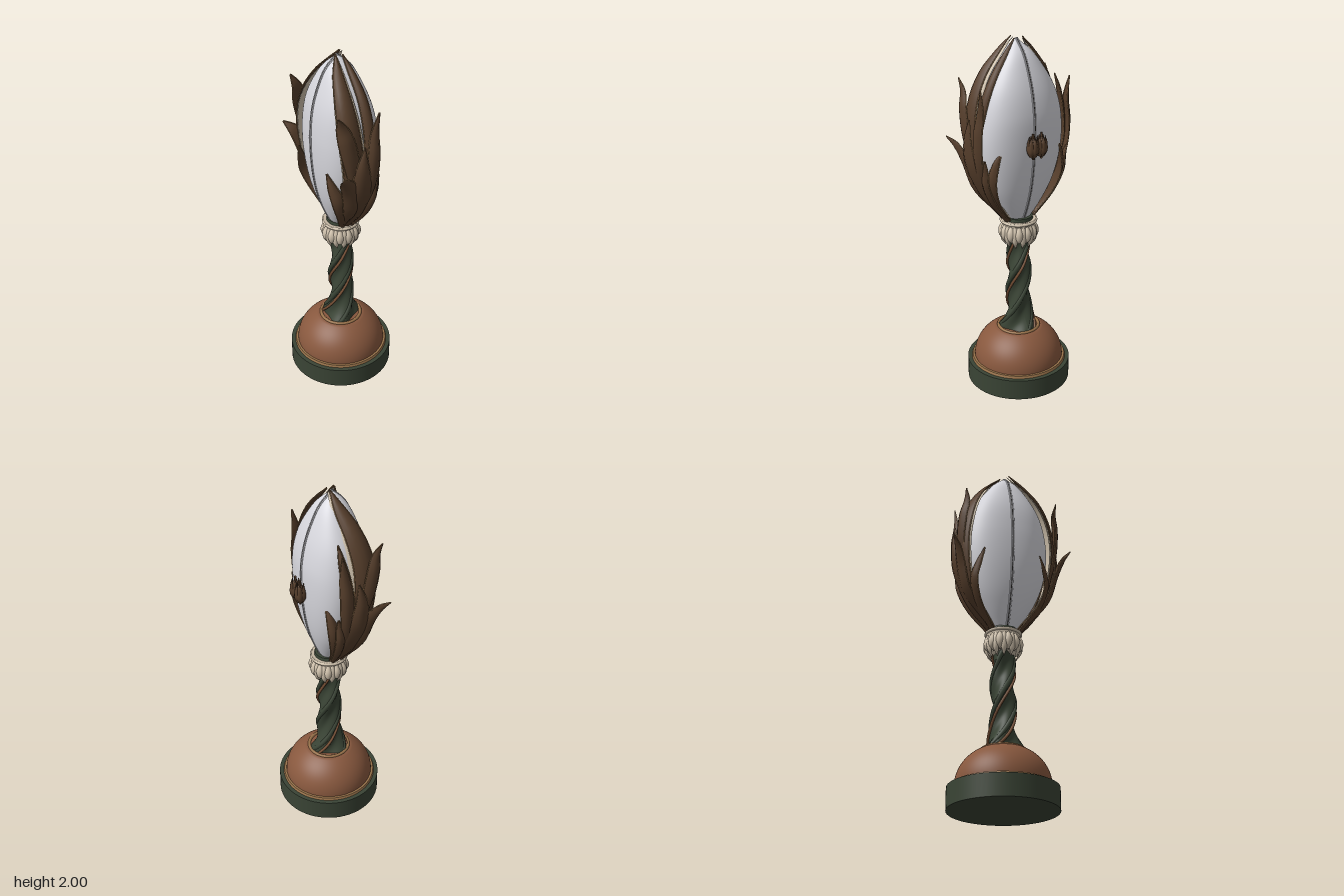
import * as THREE from 'three';

const V = (x, y, z) => new THREE.Vector3(x, y, z);
const material = (name, color) => Object.assign(new THREE.MeshStandardMaterial({ color }), { name });

// Smooth surface from f(u, v); u runs round, v runs along
function grid(f, nu, nv) {
  const pos = [], idx = [];
  for (let j = 0; j <= nv; j++)
    for (let i = 0; i <= nu; i++) pos.push(...f(i / nu, j / nv).toArray());
  for (let j = 0; j < nv; j++)
    for (let i = 0; i < nu; i++) {
      const a = j * (nu + 1) + i, b = a + 1, c = a + nu + 1, d = c + 1;
      idx.push(a, b, d, a, d, c);
    }
  const g = new THREE.BufferGeometry();
  g.setAttribute('position', new THREE.Float32BufferAttribute(pos, 3));
  g.setIndex(idx);
  g.computeVertexNormals();
  return g;
}

// Pointed leaf with a ridged lens section, swept along a spine and facing away from the axis
function leafSurface(points, width, thick = 0.012, xWeight = 0.5) {
  const curve = new THREE.CatmullRomCurve3(points.map(p => V(...p)));
  return (u, v) => {
    const p = curve.getPoint(v), t = curve.getTangent(v);
    const n = V(p.x * xWeight, 0, p.z).normalize();
    n.addScaledVector(t, -n.dot(t)).normalize();
    const side = n.clone().cross(t);
    const a = u * Math.PI * 2, c = Math.cos(a), s = Math.sin(a);
    const w = width * Math.sin(Math.PI * (0.15 + 0.85 * v)) + 0.002;
    const h = thick * s * Math.abs(s) * Math.min(1, (1 - v) * 3 + 0.2) - 0.3 * w * c * c;
    return p.addScaledVector(side, w * c).addScaledVector(n, h);
  };
}
const leafGeometry = (...args) => grid(leafSurface(...args), 12, 22);

// Smooth tube through sampled points f(0) to f(1)
function tubeAlong(f, radius, sides = 6) {
  const pts = [];
  for (let i = 0; i <= 24; i++) pts.push(f(i / 24));
  return new THREE.TubeGeometry(new THREE.CatmullRomCurve3(pts), 48, radius, sides);
}

export function createModel() {
  const root = new THREE.Group();
  root.name = 'budOnPedestal';
  const green = material('darkGreen', 0x3a4435);
  const clay = material('clayBrown', 0x88583e);
  const gold = material('dullGold', 0x98724a);
  const bark = material('vineBrown', 0x775035);
  const brown = material('leafBrown', 0x563e2b);
  const tan = material('leafRim', 0x94744e);
  const cream = material('cream', 0xcfc1ac);
  const white = material('paleSilver', 0xd8d8de);
  const dark = material('seamDark', 0x3a3633);
  green.side = white.side = THREE.DoubleSide;

  const add = (name, geometry, mat, parent = root) => {
    const m = new THREE.Mesh(geometry, mat);
    m.name = name;
    parent.add(m);
    return m;
  };
  const lathe = pts => new THREE.LatheGeometry(pts.map(p => new THREE.Vector2(...p)), 64);
  const ring = (name, r, tube, y, mat) => {
    const m = add(name, new THREE.TorusGeometry(r, tube, 10, 64), mat);
    m.rotation.x = Math.PI / 2;
    m.position.y = y;
  };
  const group = name => {
    const g = new THREE.Group();
    g.name = name;
    root.add(g);
    return g;
  };

  // Pedestal
  add('base', new THREE.CylinderGeometry(0.293, 0.293, 0.12, 72), green).position.y = 0.06;
  add('baseTrim', new THREE.CylinderGeometry(0.265, 0.27, 0.014, 72), gold).position.y = 0.127;
  const domePoints = [];
  for (let i = 0; i <= 16; i++) {
    const a = (i / 16) * 1.05;
    domePoints.push([0.253 * Math.cos(a), 0.13 + 0.22 * Math.sin(a)]);
  }
  domePoints.push([0.02, 0.322]);
  add('dome', lathe(domePoints), clay);
  ring('domeCollar', 0.114, 0.009, 0.322, gold);

  // Twisted stem with three lobes
  const stemRadius = new THREE.CatmullRomCurve3([
    V(0.098, 0.32, 0), V(0.079, 0.37, 0), V(0.062, 0.45, 0), V(0.058, 0.56, 0),
    V(0.058, 0.7, 0), V(0.052, 0.8, 0), V(0.056, 0.88, 0)]);
  const twist = y => (y - 0.32) * 9;
  add('stem', grid((u, v) => {
    const p = stemRadius.getPoint(v), a = u * Math.PI * 2;
    const r = p.x * (1 + 0.15 * Math.cos(3 * (a - twist(p.y))));
    return V(r * Math.cos(a), p.y, -r * Math.sin(a));
  }, 48, 48), green);

  // Vines winding round the stem
  const vines = group('stemVines');
  const vine = (phase, tube, grow, mat) => add('vine', tubeAlong(t => {
    const p = stemRadius.getPoint(t), a = twist(p.y) + phase;
    return V(p.x * grow * Math.cos(a), p.y, -p.x * grow * Math.sin(a));
  }, tube, 8), mat, vines);
  for (let k = 0; k < 3; k++) {
    vine(k * 2.094, 0.014, 1.04, green);
    if (k < 2) vine(k * 2.094 + 0.45, 0.008, 1.1, bark);
  }

  // Cream cup with two rows of drooping petals, and the green calyx inside it
  add('cupBody', lathe([[0.05, 0.86], [0.075, 0.88], [0.09, 0.92], [0.088, 0.96], [0.1, 0.99],
    [0.09, 0.995], [0.03, 0.975]]), cream);
  ring('cupRim', 0.095, 0.009, 0.983, cream);
  add('calyx', new THREE.CylinderGeometry(0.077, 0.082, 0.035, 32), green).position.y = 0.992;
  const petals = group('cupPetals');
  for (let k = 0; k < 24; k++) {
    const a = (k / 24) * Math.PI * 2, drop = k % 2 ? 0.03 : 0, out = k % 2 ? 0 : 0.007;
    const spine = [[0.084, 0.965], [0.095 + out, 0.93], [0.093 + out, 0.895 - drop * 0.5], [0.07 + out, 0.865 - drop]]
      .map(([r, y]) => [r * Math.cos(a), y, r * Math.sin(a)]);
    add('cupPetal', leafGeometry(spine, 0.02, 0.008, 1), cream, petals);
  }

  // Bud shell: points hold half-depth across x, height, half-depth across z
  const shell = new THREE.CatmullRomCurve3([
    V(0.045, 0.97, 0.04), V(0.098, 1.09, 0.122), V(0.132, 1.2, 0.183), V(0.155, 1.33, 0.225),
    V(0.166, 1.47, 0.242), V(0.165, 1.6, 0.232), V(0.148, 1.72, 0.2), V(0.113, 1.83, 0.14),
    V(0.068, 1.92, 0.073), V(0.001, 1.985, 0.001)]);
  const shiftX = y => -0.007 - 0.013 * Math.max(0, (y - 1.6) / 0.4);
  const power = (c, e) => Math.sign(c) * Math.pow(Math.abs(c), e);
  for (const s of [1, -1]) {
    add(s > 0 ? 'frontShell' : 'backShell', grid((u, v) => {
      const p = shell.getPoint(v), a = Math.PI * (s > 0 ? 1 - u : u);
      return V(shiftX(p.y) + p.x * power(Math.cos(a), 0.8), p.y,
        s * (0.001 + p.z * power(Math.sin(a), 0.85)));
    }, 40, 40), white);
  }

  // Seam rims where the halves meet
  const seams = group('shellSeams');
  for (const sx of [1, -1])
    for (const z of [-0.005, 0, 0.005])
      add('seamRim', tubeAlong(t => {
        const p = shell.getPoint(t);
        return V(shiftX(p.y) + sx * p.x, p.y, z);
      }, z ? 0.004 : 0.003), z ? white : dark, seams);

  // Leaves: each entry is [half-width, spine points], for the front; the back mirrors them in z
  const sideLeaves = [
    [0.045, [[-0.04, 1.03, 0.1], [-0.06, 1.2, 0.24], [-0.09, 1.35, 0.285], [-0.13, 1.43, 0.31], [-0.172, 1.475, 0.342]]],
    [0.042, [[-0.04, 1.3, 0.25], [-0.08, 1.5, 0.283], [-0.11, 1.64, 0.28], [-0.13, 1.72, 0.262], [-0.155, 1.785, 0.268]]],
    [0.032, [[0.02, 1.0, 0.08], [0.05, 1.14, 0.18], [0.08, 1.27, 0.22], [0.098, 1.37, 0.205], [0.112, 1.45, 0.17]]],
    [0.036, [[0.01, 1.15, 0.2], [0.035, 1.35, 0.272], [0.045, 1.52, 0.285], [0.055, 1.65, 0.268], [0.072, 1.77, 0.272]]],
    [0.034, [[-0.03, 1.0, 0.08], [-0.08, 1.14, 0.18], [-0.12, 1.25, 0.212], [-0.148, 1.34, 0.19], [-0.165, 1.42, 0.16]]],
    [0.06, [[0, 1.0, 0.08], [-0.01, 1.15, 0.205], [-0.025, 1.33, 0.288], [-0.03, 1.47, 0.302], [-0.015, 1.6, 0.29]]],
    [0.025, [[0.02, 1.0, 0.085], [0.045, 1.13, 0.19], [0.06, 1.25, 0.245], [0.07, 1.34, 0.25], [0.085, 1.4, 0.26]]],
  ];
  const mainLeaves = {
    '1': [
      [0.055, [[-0.01, 1, 0.07], [-0.035, 1.2, 0.215], [-0.06, 1.45, 0.27], [-0.076, 1.65, 0.25], [-0.077, 1.8, 0.187], [-0.063, 1.92, 0.092], [-0.042, 1.997, 0.02]]],
      [0.028, [[0.01, 1.1, 0.16], [0.025, 1.45, 0.268], [0.034, 1.65, 0.245], [0.03, 1.8, 0.183], [0.012, 1.92, 0.09], [-0.004, 1.99, 0.025]]],
    ],
    '-1': [
      [0.065, [[-0.01, 1, 0.07], [-0.04, 1.2, 0.215], [-0.07, 1.45, 0.27], [-0.078, 1.65, 0.25], [-0.053, 1.8, 0.187], [-0.015, 1.92, 0.092], [0.005, 1.997, 0.02]]],
      [0.026, [[0.01, 1.1, 0.16], [0.02, 1.4, 0.265], [0.03, 1.57, 0.258], [0.045, 1.7, 0.225], [0.052, 1.79, 0.19]]],
    ],
  };
  for (const s of [1, -1]) {
    const leaves = group(s > 0 ? 'frontLeaves' : 'backLeaves');
    for (const [w, pts] of [...mainLeaves[s], ...sideLeaves]) {
      const surface = leafSurface(pts.map(([x, y, z]) => [x, y, z * s]), w);
      add('leaf', grid(surface, 12, 22), brown, leaves);
      for (const u of [0, 0.5]) add('leafRim', tubeAlong(v => surface(u, v), 0.0028, 5), tan, leaves);
    }
    // Cream lining showing beside the main leaf
    const [width, spine] = mainLeaves[s][0];
    const lining = spine.map(([x, y, z]) => [x + 0.008, y - 0.006, (z - 0.009) * s]);
    add('leafLining', leafGeometry(lining, width + 0.01, 0.006), cream, leaves);
  }

  // Twin rosette clasp, one on each half of the shell
  for (const s of [1, -1]) {
    const clasp = group(s > 0 ? 'frontClasp' : 'backClasp');
    clasp.position.set(0.18, 1.46, s * 0.026);
    add('claspBud', new THREE.SphereGeometry(0.022, 16, 12), brown, clasp).scale.y = 2.2;
    add('claspPin', new THREE.CylinderGeometry(0.006, 0.006, 0.14, 10), brown, clasp);
    for (let k = 0; k < 6; k++) {
      const a = (k / 6) * Math.PI * 2;
      const petal = [[0.012, -0.055], [0.026, -0.025], [0.025, 0.015], [0.018, 0.055]]
        .map(([r, y]) => [r * Math.cos(a), y, r * Math.sin(a)]);
      add('claspPetal', leafGeometry(petal, 0.014, 0.006, 1), brown, clasp);
    }
  }
  return root;
}
